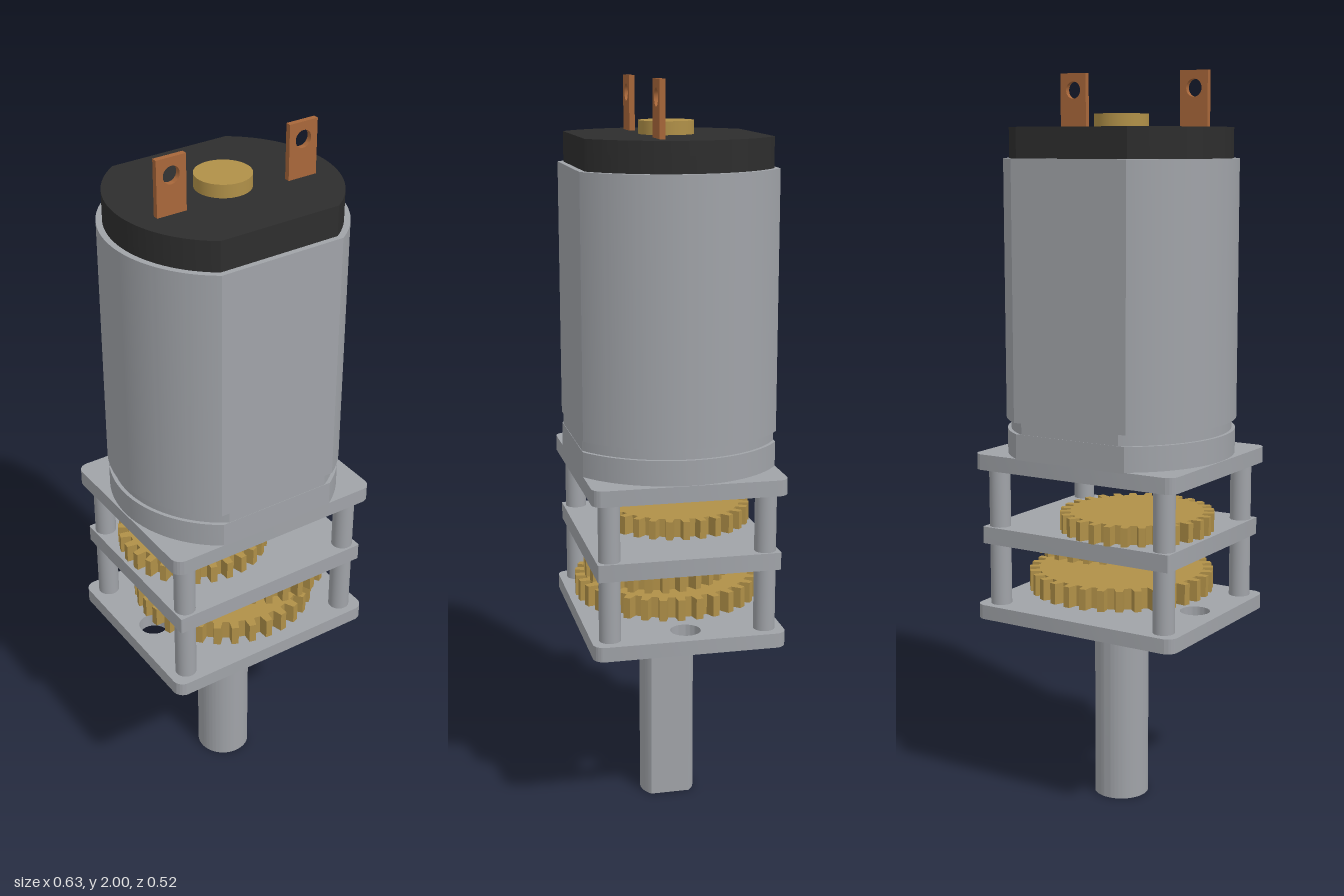
import * as THREE from 'three';
import { toCreasedNormals } from 'three/addons/utils/BufferGeometryUtils.js';

const mat = (name, color) => {
  const m = new THREE.MeshStandardMaterial({ color });
  m.name = name;
  return m;
};

export function createModel() {
  const model = new THREE.Group();
  model.name = 'gearMotor';
  const steel = mat('steel', 0xa0a3a8);
  const black = mat('blackPlastic', 0x2d2d2d);
  const brass = mat('brass', 0xb09048);
  const copper = mat('copper', 0xa8673a);

  const add = (name, geometry, material, x = 0, y = 0, z = 0) => {
    const mesh = new THREE.Mesh(geometry, material);
    mesh.name = name;
    mesh.position.set(x, y, z);
    model.add(mesh);
    return mesh;
  };

  // Extrude a plan outline upwards from y0 to y1
  const slab = (name, shape, y0, y1, material, x = 0, z = 0, crease = 0.5) => {
    const g = new THREE.ExtrudeGeometry(shape, { depth: y1 - y0, bevelEnabled: false, curveSegments: 32 });
    g.rotateX(-Math.PI / 2);
    return add(name, toCreasedNormals(g, crease), material, x, y0, z);
  };
  const disc = (name, r, y0, y1, material, x = 0, z = 0) =>
    add(name, new THREE.CylinderGeometry(r, r, y1 - y0, 48), material, x, (y0 + y1) / 2, z);

  // Circle with two parallel flats at front and back
  const flattedCircle = (r, half) => {
    const a = Math.asin(half / r);
    const s = new THREE.Shape();
    s.absarc(0, 0, r, -a, a, false);
    s.absarc(0, 0, r, Math.PI - a, Math.PI + a, false);
    s.closePath();
    return s;
  };

  const roundedRect = (w, d, r) => {
    const s = new THREE.Shape();
    s.absarc(w - r, d - r, r, 0, Math.PI / 2, false);
    s.absarc(-w + r, d - r, r, Math.PI / 2, Math.PI, false);
    s.absarc(-w + r, -d + r, r, Math.PI, Math.PI * 1.5, false);
    s.absarc(w - r, -d + r, r, Math.PI * 1.5, Math.PI * 2, false);
    s.closePath();
    return s;
  };

  const hole = (x, y, r) => new THREE.Path().absarc(x, y, r, 0, Math.PI * 2, true);

  // Spur gear outline: each tooth is a small trapezoid
  const gearShape = (r, teeth, depth = 0.028) => {
    const pts = [];
    for (let i = 0; i < teeth; i++) {
      for (const [f, rad] of [[0, r - depth], [0.42, r - depth], [0.52, r], [0.9, r]]) {
        const a = ((i + f) / teeth) * Math.PI * 2;
        pts.push(new THREE.Vector2(Math.cos(a) * rad, Math.sin(a) * rad));
      }
    }
    return new THREE.Shape(pts);
  };

  // Motor can with a shallow groove near its foot
  slab('motorCan', flattedCircle(0.313, 0.26), 1.085, 1.775, steel);
  slab('canGroove', flattedCircle(0.3, 0.259), 1.055, 1.085, steel);
  slab('canFoot', flattedCircle(0.31, 0.26), 0.985, 1.055, steel);

  // End cap and rear bearing
  slab('endCap', flattedCircle(0.297, 0.245), 1.77, 1.855, black);
  disc('rearBearing', 0.073, 1.85, 1.89, brass);

  // Terminal tabs with wire holes
  for (const side of [-1, 1]) {
    const tab = new THREE.Shape([
      new THREE.Vector2(-0.041, 0), new THREE.Vector2(0.041, 0),
      new THREE.Vector2(0.041, 0.15), new THREE.Vector2(-0.041, 0.15),
    ]);
    tab.holes.push(hole(0, 0.105, 0.023));
    const g = new THREE.ExtrudeGeometry(tab, { depth: 0.015, bevelEnabled: false });
    add(side > 0 ? 'leftTerminal' : 'rightTerminal', toCreasedNormals(g, 0.6), copper, side * 0.188, 1.85, 0.053);
  }

  // Gearbox plates
  slab('topPlate', roundedRect(0.313, 0.26, 0.03), 0.945, 0.988, steel);
  slab('middlePlate', roundedRect(0.294, 0.246, 0.004), 0.737, 0.784, steel);
  const bottom = roundedRect(0.313, 0.26, 0.03);
  bottom.holes.push(hole(-0.235, 0, 0.041), hole(0.235, 0, 0.041));
  slab('bottomPlate', bottom, 0.525, 0.565, steel);

  // Corner posts
  for (const x of [-0.26, 0.26]) {
    for (const z of [-0.21, 0.21]) disc('post', 0.029, 0.56, 0.95, steel, x, z);
  }

  // Gear train
  slab('motorGear', gearShape(0.195, 28), 0.933, 0.946, brass, 0.035, 0.035, 0.2);
  slab('upperGear', gearShape(0.21, 28), 0.783, 0.835, brass, -0.075, -0.04, 0.2);
  slab('lowerGear', gearShape(0.195, 26), 0.69, 0.738, brass, 0.085, 0.05, 0.2);
  slab('outputGear', gearShape(0.255, 32), 0.6, 0.657, brass, 0, 0, 0.2);

  // Front bushing and D-shaped output shaft
  disc('frontBushing', 0.103, 0.483, 0.527, brass);
  const a = Math.acos(0.053 / 0.076);
  const dShape = new THREE.Shape();
  dShape.absarc(0, 0, 0.076, a, Math.PI * 2 - a, false);
  dShape.closePath();
  slab('outputShaft', dShape, 0, 0.49, steel);

  return model;
}
